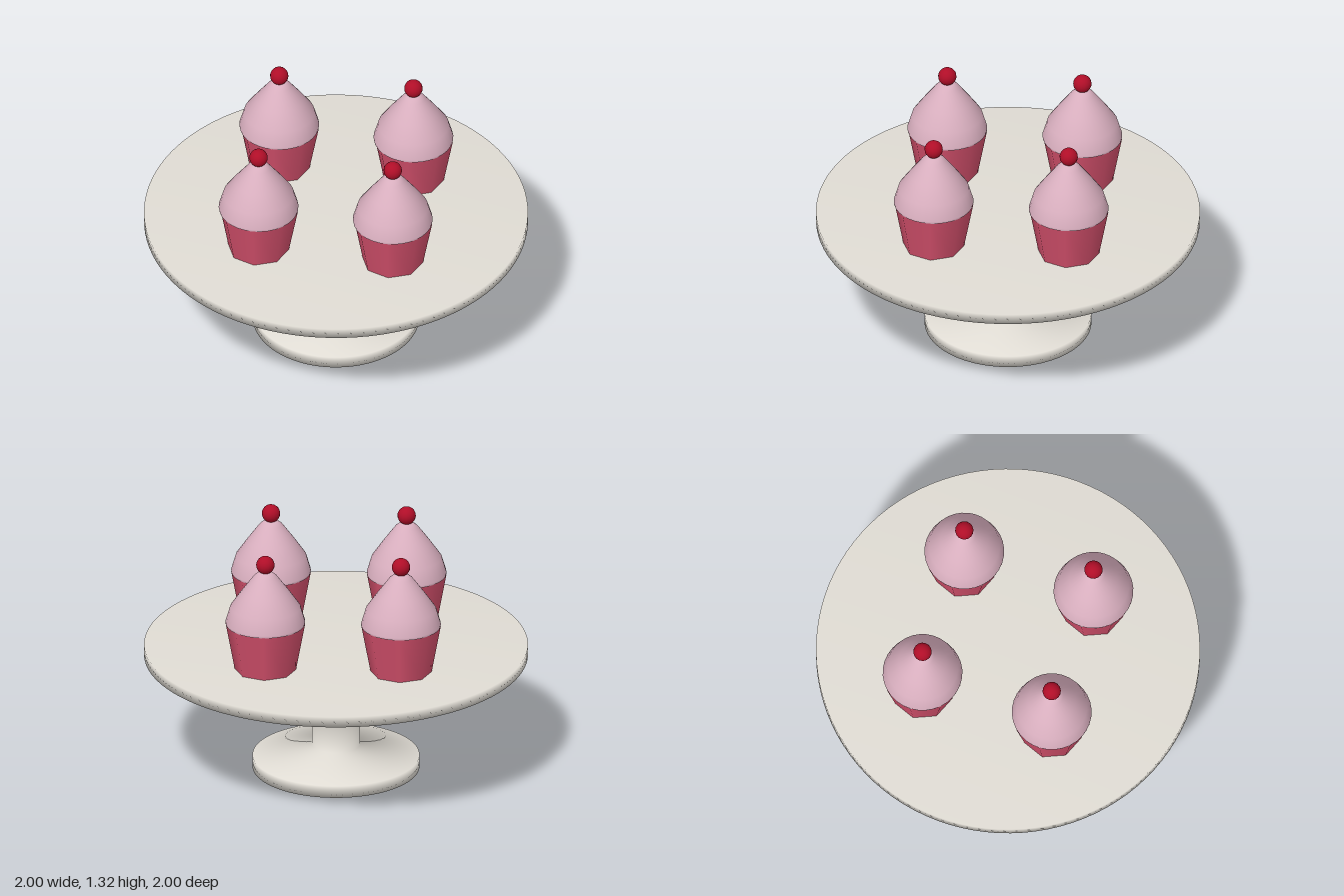
import * as THREE from 'three';

const mat = (name, color) => {
  const m = new THREE.MeshStandardMaterial({ color });
  m.name = name;
  return m;
};

// Smooth solid of revolution from [radius, height] pairs, bottom to top
const lathe = (name, profile, sides, material) => {
  const points = profile.map(([r, y]) => new THREE.Vector2(r, y));
  const mesh = new THREE.Mesh(new THREE.LatheGeometry(points, sides), material);
  mesh.name = name;
  return mesh;
};

export function createModel() {
  const china = mat('warm white china', 0xe0dcd4);
  const pink = mat('pink frosting', 0xd9afbf);
  const rose = mat('rose paper', 0xd4506c);
  const red = mat('cherry red', 0xb00e28);

  const model = new THREE.Group();
  model.name = 'cakeStandWithCupcakes';

  // Stand: flared foot, column and wide plate in one turned piece
  model.add(lathe('cakeStand', [
    [0, 0], [0.435, 0], [0.435, 0.065], [0.125, 0.125],
    [0.125, 0.57], [1, 0.63], [1, 0.687], [0, 0.687],
  ], 96, china));

  // Cupcake, built from the plate surface up
  const makeCupcake = () => {
    const cake = new THREE.Group();
    cake.name = 'cupcake';
    // Eight-sided paper cup
    cake.add(lathe('wrapper', [[0.16, 0], [0.208, 0.258]], 8, rose));
    // Frosting dome with a flat underside
    const underside = new THREE.Mesh(new THREE.CircleGeometry(0.206, 32), pink);
    underside.name = 'frostingUnderside';
    underside.rotation.x = Math.PI / 2;
    underside.position.y = 0.256;
    cake.add(underside);
    cake.add(lathe('frosting', [
      [0.206, 0.256], [0.208, 0.268], [0.184, 0.35],
      [0.125, 0.435], [0.06, 0.523], [0.035, 0.543], [0, 0.547],
    ], 32, pink));
    // Cherry on top
    const cherry = new THREE.Mesh(new THREE.SphereGeometry(0.048, 16, 12), red);
    cherry.name = 'cherry';
    cherry.position.y = 0.585;
    cake.add(cherry);
    return cake;
  };

  // Four cupcakes around the plate
  for (let i = 0; i < 4; i++) {
    const a = (i * Math.PI) / 2;
    const cake = makeCupcake();
    cake.position.set(0.5 * Math.cos(a), 0.687, 0.5 * Math.sin(a));
    model.add(cake);
  }
  return model;
}
